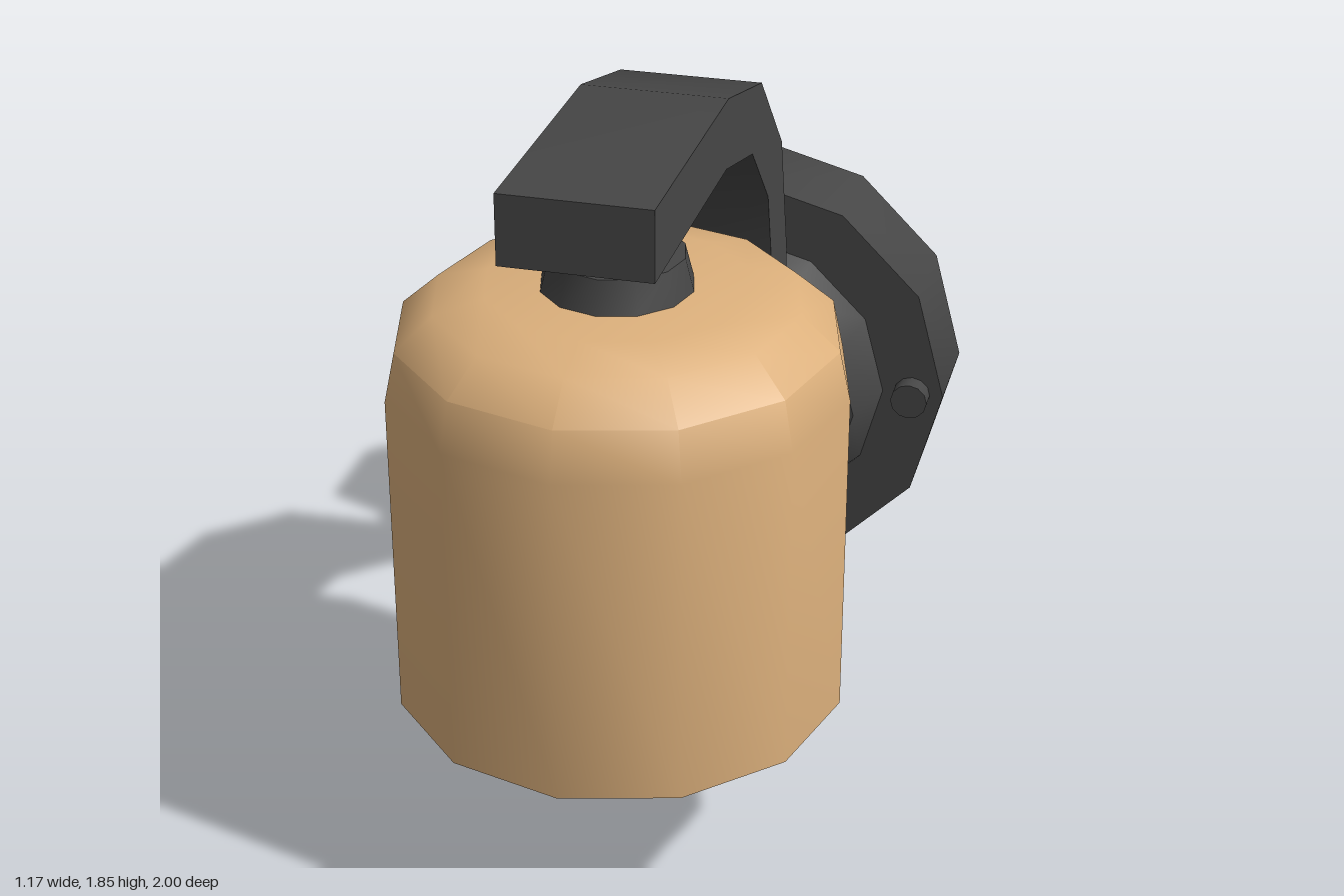
import * as THREE from 'three';
import { toCreasedNormals } from 'three/addons/utils/BufferGeometryUtils.js';

const SIDES = 12;
const CREASE = THREE.MathUtils.degToRad(40);

export function createModel() {
  const group = new THREE.Group();
  const darkMetal = new THREE.MeshStandardMaterial({ color: 0x464646 });
  const tanShade = new THREE.MeshStandardMaterial({ color: 0xdcb07c });
  darkMetal.name = 'darkMetal';
  tanShade.name = 'tanShade';

  const add = (name, geometry, material, x = 0, y = 0, z = 0) => {
    const mesh = new THREE.Mesh(toCreasedNormals(geometry, CREASE), material);
    mesh.name = name;
    mesh.position.set(x, y, z);
    group.add(mesh);
    return mesh;
  };
  const points = (list) => list.map(([a, b]) => new THREE.Vector2(a, b));

  // Shade: recessed underside, rim, outer wall and rounded shoulder
  const shadeProfile = points([
    [0, 0.74], [0.43, 0.74], [0.43, 0.46], [0.546, 0.46], [0.546, 1.28],
    [0.52, 1.4], [0.43, 1.48], [0.31, 1.51], [0, 1.51],
  ]);
  add('shade', new THREE.LatheGeometry(shadeProfile, SIDES), tanShade, 0, 0, 0.453);

  // Neck joining the shade to the arm
  add('neckCollar', new THREE.CylinderGeometry(0.16, 0.18, 0.08, SIDES), darkMetal, 0, 1.55, 0.453);
  add('neckStem', new THREE.CylinderGeometry(0.095, 0.095, 0.1, SIDES), darkMetal, 0, 1.635, 0.453);

  // Arm: side outline (z, y) extruded across the width
  const armOutline = points([
    [0.785, 1.85], [0.125, 1.85], [-0.22, 1.76], [-0.465, 1.51], [-0.555, 1.17], [-0.555, 0],
    [-0.39, 0], [-0.39, 1.14], [-0.315, 1.42], [-0.13, 1.61], [0.14, 1.68], [0.785, 1.68],
  ]);
  const arm = new THREE.ExtrudeGeometry(new THREE.Shape(armOutline), { depth: 0.355, bevelEnabled: false });
  arm.translate(0, 0, -0.1775);
  arm.rotateY(-Math.PI / 2);
  add('arm', arm, darkMetal);

  // Wall mount: disc, tapered boss and two screws, all facing +z
  const disc = (name, rFront, rBack, zFront, zBack, sides, x = 0) => {
    const g = new THREE.CylinderGeometry(rFront, rBack, zFront - zBack, sides);
    g.rotateX(Math.PI / 2);
    add(name, g, darkMetal, x, 0.7, (zFront + zBack) / 2);
  };
  disc('wallPlate', 0.586, 0.586, -0.72, -1, SIDES);
  disc('mountBoss', 0.37, 0.42, -0.555, -0.72, SIDES);
  for (const side of [-1, 1]) disc(side > 0 ? 'leftScrew' : 'rightScrew', 0.05, 0.05, -0.67, -0.73, SIDES, side * 0.5);

  return group;
}
